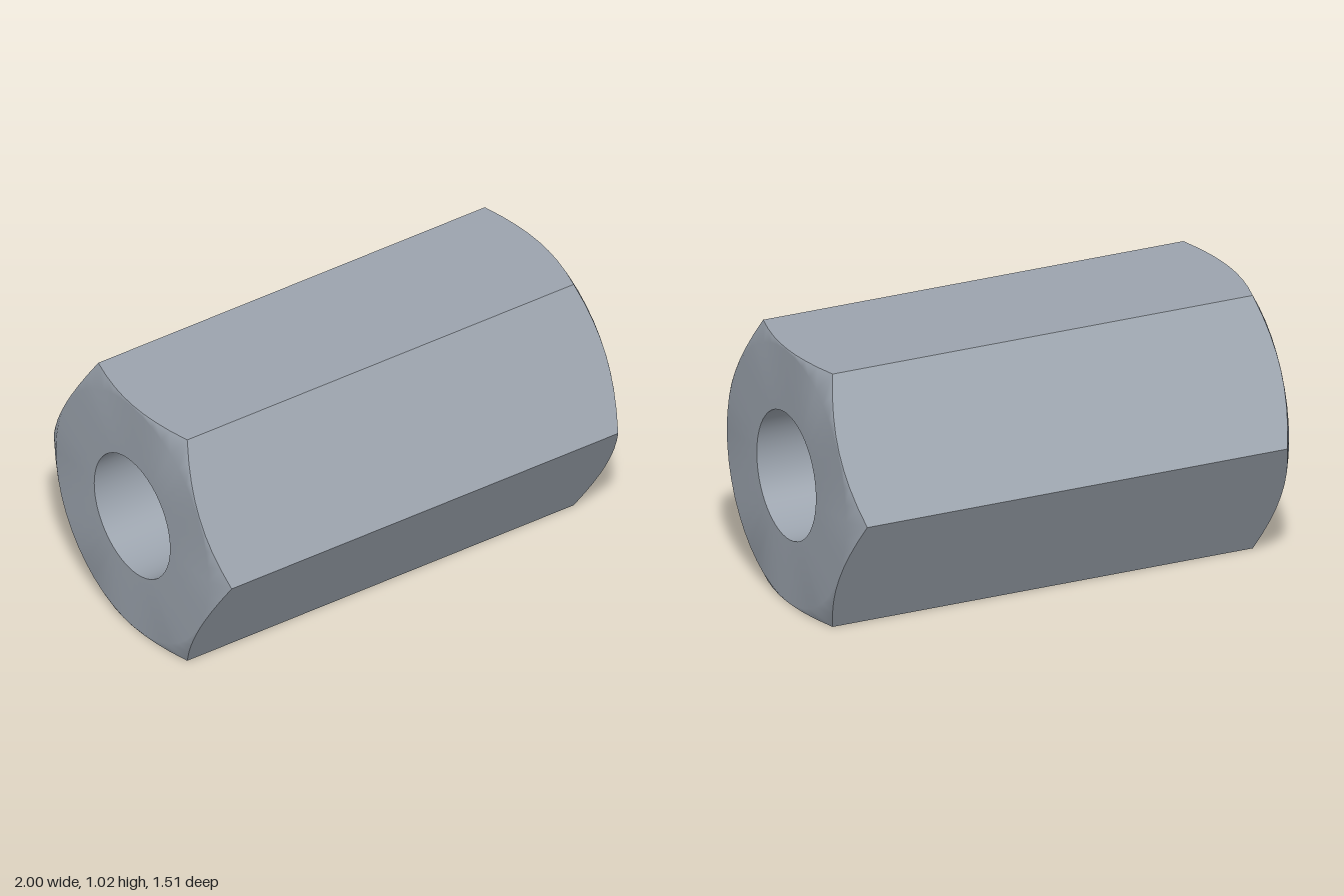
import * as THREE from 'three';

const SEGMENTS = 48;
const APOTHEM = 0.508, RIM = 0.503, BORE = 0.25, END = 0.916;

// Ring of points around the x axis; section(t) returns [x, radius].
function ring(section) {
  return Array.from({ length: SEGMENTS }, (_, i) => {
    const t = (i / SEGMENTS) * Math.PI * 2;
    const [x, r] = section(t);
    return [x, r * Math.sin(t), r * Math.cos(t)];
  });
}

// Closed skin through successive rings.
function skin(rings, flat = false) {
  const index = [];
  for (let k = 0; k < rings.length - 1; k++) {
    for (let i = 0; i < SEGMENTS; i++) {
      const j = (i + 1) % SEGMENTS;
      const a = k * SEGMENTS, b = a + SEGMENTS;
      index.push(a + i, b + i, b + j, a + i, b + j, a + j);
    }
  }
  let geometry = new THREE.BufferGeometry();
  geometry.setAttribute('position', new THREE.Float32BufferAttribute(rings.flat(2), 3));
  geometry.setIndex(index);
  if (flat) geometry = geometry.toNonIndexed();
  geometry.computeVertexNormals();
  return geometry;
}

export function createModel() {
  const steel = new THREE.MeshStandardMaterial({ color: 0x9ba3ad });
  steel.name = 'steel grey';
  const model = new THREE.Group();
  model.name = 'hexStandoff';
  const add = (name, geometry) => {
    const mesh = new THREE.Mesh(geometry, steel);
    mesh.name = name;
    model.add(mesh);
  };

  // Hexagon outline cut by a conical chamfer, then the flat rim and the bore.
  const hexagon = (side) => ring((t) => {
    const r = APOTHEM / Math.cos((t % (Math.PI / 3)) - Math.PI / 6);
    return [side * (END - (r - RIM) * 0.57), r];
  });
  const circle = (side, r) => ring(() => [side * END, r]);

  add('hexSides', skin([hexagon(-1), hexagon(1)], true));
  add('leftEnd', skin([hexagon(1), circle(1, RIM), circle(1, BORE)]));
  add('rightEnd', skin([circle(-1, BORE), circle(-1, RIM), hexagon(-1)]));
  add('bore', skin([circle(1, BORE), circle(-1, BORE)]));

  model.rotation.y = -THREE.MathUtils.degToRad(12);
  model.position.y = APOTHEM;
  const root = new THREE.Group();
  root.name = 'standoff';
  root.add(model);
  return root;
}
